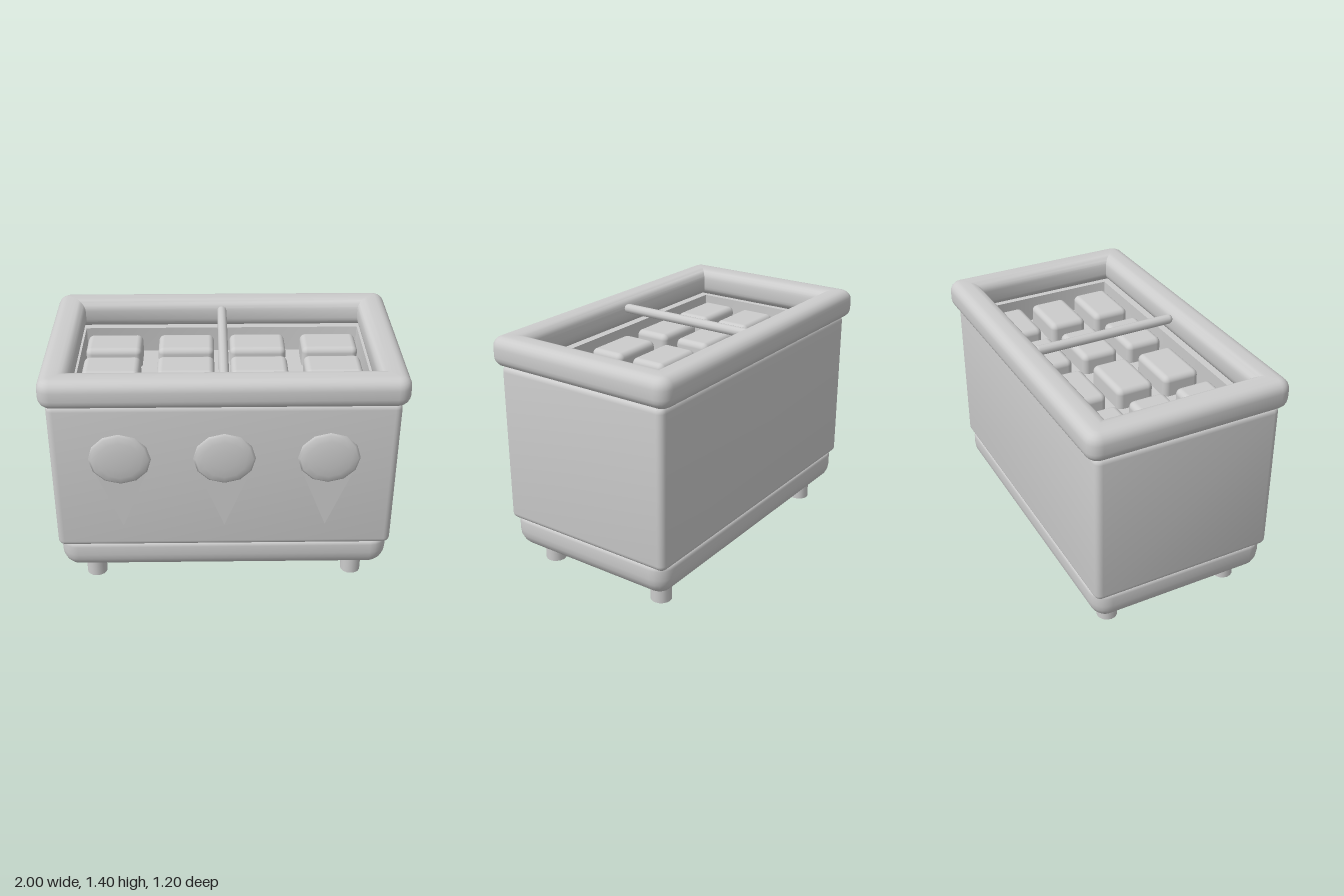
import * as THREE from 'three';
import { toCreasedNormals } from 'three/addons/utils/BufferGeometryUtils.js';
import { RoundedBoxGeometry } from 'three/addons/geometries/RoundedBoxGeometry.js';

const grey = new THREE.MeshStandardMaterial({ color: 0xcccccc });
grey.name = 'light grey';

// Profile points [inset, y] along an arc; angle 0 faces outward, PI/2 faces up
function arc(inset, y, r, from, to, steps = 5, ry = r) {
  return Array.from({ length: steps + 1 }, (_, i) => {
    const a = from + (to - from) * i / steps;
    return [inset - r * Math.cos(a), y + ry * Math.sin(a)];
  });
}

// Sweeps a profile around a rounded rectangle, optionally capping either end
function loft(profile, halfX, halfZ, radius, { bottom = false, top = false } = {}) {
  const steps = 5;
  const rings = profile.map(([inset, y]) => {
    const ring = [];
    const r = Math.max(radius - inset, 0.002);
    for (let c = 0; c < 4; c++) {
      const sx = c === 0 || c === 3 ? 1 : -1;
      const sz = c < 2 ? 1 : -1;
      for (let i = 0; i <= steps; i++) {
        const a = (c + i / steps) * Math.PI / 2;
        ring.push([
          sx * (halfX - inset - r) + r * Math.cos(a), y,
          sz * (halfZ - inset - r) + r * Math.sin(a),
        ]);
      }
    }
    return ring;
  });
  const pos = [];
  const tri = (a, b, c) => pos.push(...a, ...b, ...c);
  const n = rings[0].length;
  for (let i = 0; i < n; i++) {
    const k = (i + 1) % n;
    for (let j = 0; j < rings.length - 1; j++) {
      const low = rings[j], high = rings[j + 1];
      tri(low[i], high[i], low[k]);
      tri(low[k], high[i], high[k]);
    }
    const first = rings[0], last = rings[rings.length - 1];
    if (bottom) tri([0, first[0][1], 0], first[i], first[k]);
    if (top) tri([0, last[0][1], 0], last[k], last[i]);
  }
  const geo = new THREE.BufferGeometry();
  geo.setAttribute('position', new THREE.Float32BufferAttribute(pos, 3));
  return toCreasedNormals(geo, 0.6);
}

export function createModel() {
  const model = new THREE.Group();
  model.name = 'displayFreezer';
  const add = (name, geo, x = 0, y = 0, z = 0) => {
    const mesh = new THREE.Mesh(geo, grey);
    mesh.name = name;
    mesh.position.set(x, y, z);
    model.add(mesh);
    return mesh;
  };
  const Q = Math.PI / 2;

  // Cabinet: rounded outer walls, open well and its floor
  add('cabinet', loft([
    ...arc(0.035, 0.335, 0.035, -Q, 0),
    ...arc(0.035, 1.2, 0.035, 0, Q),
    [0.135, 1.235], [0.135, 1.08],
  ], 0.965, 0.55, 0.04, { bottom: true, top: true }));

  // Base with a deeply rounded underside
  add('base', loft([
    ...arc(0.1, 0.23, 0.1, -Q, 0, 5, 0.11),
    ...arc(0.03, 0.285, 0.03, 0, Q),
  ], 0.955, 0.545, 0.1, { bottom: true, top: true }));

  // Padded rim around the opening
  const rim = [
    ...arc(0.06, 1.34, 0.06, 0, Q),
    ...arc(0.11, 1.34, 0.06, Q, 2 * Q),
    ...arc(0.11, 1.29, 0.06, 2 * Q, 3 * Q),
    ...arc(0.06, 1.29, 0.06, 3 * Q, 4 * Q),
  ];
  add('rim', loft([...rim, rim[0]], 1, 0.597, 0.075));

  // Tubs in the well
  const tub = new RoundedBoxGeometry(0.335, 0.2, 0.225, 3, 0.035);
  for (const x of [-0.65, -0.217, 0.213, 0.645]) {
    for (const z of [-0.3, -0.007, 0.287]) add('tub', tub, x, 1.1, z);
  }

  // Divider bar across the opening
  const bar = add('dividerBar', new THREE.CapsuleGeometry(0.028, 0.83, 4, 12), 0, 1.345, -0.005);
  bar.rotation.x = Q;

  // Feet
  const foot = new THREE.CylinderGeometry(0.06, 0.06, 0.14, 16);
  for (const x of [-0.77, 0.77]) {
    for (const z of [-0.39, 0.39]) add('foot', foot, x, 0.07, z);
  }

  // Cone decorations on the front: flat wafer and domed scoop
  const wafer = new THREE.ExtrudeGeometry(new THREE.Shape([
    new THREE.Vector2(0, 0.45), new THREE.Vector2(0.15, 0.83), new THREE.Vector2(-0.15, 0.83),
  ]), { depth: 0.004, bevelEnabled: false });
  const scoop = new THREE.SphereGeometry(1, 12, 8);
  scoop.rotateX(Q);
  scoop.scale(0.173, 0.16, 0.027);
  for (const x of [-0.577, 0, 0.577]) {
    add('coneWafer', wafer, x, 0, 0.549);
    add('coneScoop', scoop, x, 0.915, 0.573);
  }
  return model;
}
